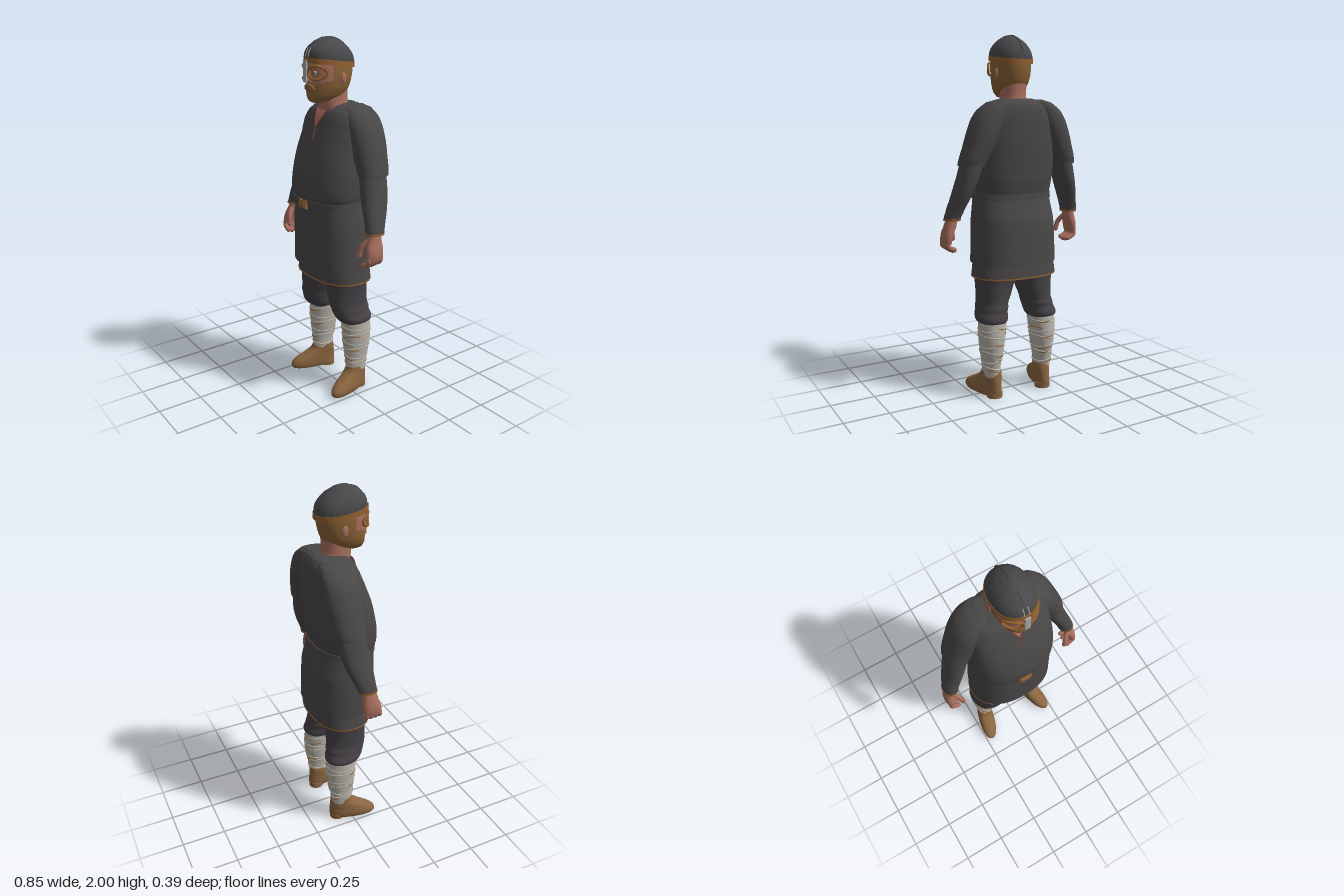
import * as THREE from 'three';

const mat = (name, color, side = THREE.FrontSide) => {
  const m = new THREE.MeshStandardMaterial({ color, side });
  m.name = name;
  return m;
};

export function createModel() {
  const M = {
    tunic: mat('dark wool', 0x4a4747),
    trousers: mat('trouser cloth', 0x464246),
    helmet: mat('dark iron', 0x48474a),
    wrap: mat('linen wrap', 0xb9b4ab, THREE.DoubleSide),
    leather: mat('shoe leather', 0x8a6540),
    skin: mat('skin', 0xa86f5e, THREE.DoubleSide),
    hair: mat('hair', 0x8a6236),
    brass: mat('brass trim', 0x91602f),
    steel: mat('steel', 0xa9a9a9),
    lips: mat('red trim', 0x7c4338),
  };
  const root = new THREE.Group();
  root.name = 'warrior';
  const add = (name, geo, material, parent = root) => {
    const mesh = new THREE.Mesh(geo, material);
    mesh.name = name;
    parent.add(mesh);
    return mesh;
  };

  // Smooth skin over level rings [y, xMin, xMax, zMin, zMax], listed top to bottom, with end caps.
  // pick(x, y, z) gives a material index per face; tilt raises the front.
  function loft(keys, { seg = 40, sub = 4, n = 2.2, pick = null, tilt = 0 } = {}) {
    const pos = [], faces = [[], []];
    const cr = (a, b, c, d, t) => {
      const v = 0.5 * (2 * b + (c - a) * t + (2 * a - 5 * b + 4 * c - d) * t * t + (3 * b - a - 3 * c + d) * t * t * t);
      return THREE.MathUtils.clamp(v, Math.min(b, c) - 0.006, Math.max(b, c) + 0.006);
    };
    const key = (i) => keys[THREE.MathUtils.clamp(i, 0, keys.length - 1)];
    const rows = (keys.length - 1) * sub;
    const ring = (r) => {
      const k = Math.min(Math.floor(r / sub), keys.length - 2), t = r / sub - k;
      const v = keys[0].map((_, j) => j === 0
        ? THREE.MathUtils.lerp(key(k)[0], key(k + 1)[0], t)
        : cr(key(k - 1)[j], key(k)[j], key(k + 1)[j], key(k + 2)[j], t));
      for (let i = 0; i < seg; i++) {
        const a = (i / seg) * Math.PI * 2, c = Math.cos(a), s = Math.sin(a);
        const x = (v[1] + v[2]) / 2 + (v[2] - v[1]) / 2 * Math.sign(c) * Math.abs(c) ** (2 / n);
        const z = (v[3] + v[4]) / 2 + (v[4] - v[3]) / 2 * Math.sign(s) * Math.abs(s) ** (2 / n);
        pos.push(x, v[0] + tilt * z, z);
      }
      return v;
    };
    for (let r = 0; r <= rows; r++) ring(r);
    for (let r = 0; r < rows; r++) for (let i = 0; i < seg; i++) {
      const j = (i + 1) % seg, a = r * seg + i, b = r * seg + j, c = a + seg, d = b + seg;
      const mid = [0, 1, 2].map((q) => (pos[a * 3 + q] + pos[b * 3 + q] + pos[c * 3 + q] + pos[d * 3 + q]) / 4);
      faces[pick ? pick(...mid) : 0].push(a, b, c, b, d, c);
    }
    for (const end of [0, rows]) {
      const start = pos.length / 3, v = ring(end), centre = pos.length / 3, zc = (v[3] + v[4]) / 2;
      pos.push((v[1] + v[2]) / 2, v[0] + tilt * zc, zc);
      for (let i = 0; i < seg; i++) {
        const p = start + i, q = start + (i + 1) % seg;
        faces[0].push(centre, ...(end ? [p, q] : [q, p]));
      }
    }
    const g = new THREE.BufferGeometry();
    g.setAttribute('position', new THREE.Float32BufferAttribute(pos, 3));
    g.setIndex([...faces[0], ...faces[1]]);
    if (pick) {
      g.addGroup(0, faces[0].length, 0);
      g.addGroup(faces[0].length, faces[1].length, 1);
    }
    g.computeVertexNormals();
    return g;
  }
  // Rings symmetric about x = 0: [y, halfWidth, zMin, zMax]
  const sym = (keys) => keys.map(([y, w, a, b]) => [y, -w, w, a, b]);
  const flip = (keys, s) => (s > 0 ? keys : keys.map(([y, a, b, c, d]) => [y, -b, -a, c, d]));
  const tube = (pts, r, closed = false, seg = 24) => new THREE.TubeGeometry(
    new THREE.CatmullRomCurve3(pts.map((p) => new THREE.Vector3(...p)), closed), seg, r, 8, closed);
  const ball = (r, x, y, z) => new THREE.SphereGeometry(r, 16, 12).translate(x, y, z);

  // Tunic, belt and the longer undertunic
  add('tunic', loft(sym([
    [1.66, .075, -.13, .0], [1.65, .12, -.152, .025], [1.62, .185, -.172, .06], [1.57, .215, -.18, .085],
    [1.5, .225, -.182, .115], [1.4, .23, -.18, .155], [1.3, .235, -.172, .18], [1.22, .232, -.165, .193],
    [1.17, .226, -.156, .192], [1.14, .218, -.15, .178], [1.1, .222, -.157, .177], [1.0, .235, -.183, .18],
    [.88, .24, -.19, .178], [.76, .243, -.195, .178]]), { seg: 64, n: 2.4 }), M.tunic);
  add('belt', loft(sym([[1.148, .223, -.156, .186], [1.115, .225, -.158, .184]]), { seg: 64, n: 2.4 }), M.tunic);
  add('buckle', new THREE.BoxGeometry(.07, .045, .016).translate(-.005, 1.122, .187), M.brass);
  add('bucklePlate', new THREE.BoxGeometry(.045, .022, .006).translate(-.005, 1.122, .196), M.leather);
  add('undertunic', loft(sym([[.79, .235, -.17, .14], [.74, .24, -.176, .145], [.685, .246, -.18, .146]]),
    { seg: 64, n: 2.4 }), M.tunic);
  add('hemTrim', loft(sym([[.69, .247, -.181, .148], [.682, .247, -.181, .148]]), { seg: 64, n: 2.4 }), M.brass);

  // Open neckline with its trim
  const neckline = [[.046, 1.645, .04], [.042, 1.62, .067], [.026, 1.58, .089], [.002, 1.535, .109]];
  const vPos = neckline.flatMap(([x, y, z]) => [-x, y, z, x, y, z]);
  const vGeo = new THREE.BufferGeometry();
  vGeo.setAttribute('position', new THREE.Float32BufferAttribute(vPos, 3));
  vGeo.setIndex([0, 1, 2, 3].slice(0, 3).flatMap((r) => [r * 2, r * 2 + 2, r * 2 + 1, r * 2 + 1, r * 2 + 2, r * 2 + 3]));
  vGeo.computeVertexNormals();
  add('openNeck', vGeo, M.skin);
  for (const s of [1, -1]) add('necklineTrim', tube(neckline.map(([x, y, z]) => [x * s, y, z]), .004), M.lips);
  add('neckSlit', tube([[0, 1.535, .108], [0, 1.5, .118], [0, 1.475, .128]], .004), M.lips);

  // Neck and head; hair and beard are faces of the head
  add('neck', loft(sym([[1.75, .07, -.09, .07], [1.67, .069, -.088, .07], [1.62, .075, -.11, .062],
    [1.57, .09, -.12, .03]])), M.skin);
  const isHair = (x, y, z) => {
    const ax = Math.abs(x);
    if (z > .06) return y < 1.757 + .5 * Math.max(0, ax - .035) ? 1 : 0;
    return 1;
  };
  add('head', loft(sym([[1.91, .098, -.108, .135], [1.85, .102, -.114, .146], [1.79, .1, -.106, .144],
    [1.74, .091, -.09, .146], [1.7, .073, -.06, .147], [1.675, .047, .0, .137], [1.667, .028, .04, .122]]),
  { seg: 64, sub: 10, pick: isHair }), [M.skin, M.hair]);
  add('moustache', tube([[-.042, 1.738, .138], [-.02, 1.757, .148], [0, 1.76, .151], [.02, 1.757, .148],
    [.042, 1.738, .138]], .008), M.hair);
  add('mouth', new THREE.SphereGeometry(1, 16, 8).scale(.022, .006, .005).translate(0, 1.738, .147), M.lips);
  add('nose', loft(sym([[1.85, .01, .12, .148], [1.81, .014, .12, .16], [1.785, .02, .12, .17],
    [1.77, .017, .12, .155]]), { seg: 20 }), M.skin);

  // Helmet with brass rim, ridge, nose guard and eye guards
  const tilt = .12;
  add('helmet', loft(sym([[2.0, .008, .0, .035], [1.993, .03, -.03, .06], [1.97, .063, -.075, .1],
    [1.935, .092, -.108, .137], [1.9, .106, -.122, .154], [1.86, .108, -.124, .154]]), { seg: 24, sub: 3, tilt }), M.helmet);
  add('helmetRim', loft(sym([[1.882, .11, -.126, .157], [1.855, .111, -.126, .158]]), { tilt }), M.brass);
  add('helmetRidge', tube([[0, 1.89, -.122], [0, 1.95, -.094], [0, 1.994, -.02], [0, 1.998, .04], [0, 1.978, .106],
    [0, 1.92, .157]], .004), M.helmet);
  for (const x of [-.012, .012]) {
    add('ridgeMark', tube([[x, 1.95, .139], [x, 1.93, .15], [x, 1.905, .159]], .0025), M.steel);
  }
  add('noseGuard', new THREE.BoxGeometry(.028, .115, .008).translate(0, 1.833, .168), M.steel);
  for (const s of [1, -1]) {
    const rim = Array.from({ length: 16 }, (_, i) => {
      const a = i / 16 * Math.PI * 2, x = .056 + .041 * Math.cos(a);
      return [x * s, 1.825 + .034 * Math.sin(a), .02 + .142 * Math.sqrt(1 - (x / .115) ** 2)];
    });
    add('eyeGuard', tube(rim, .007, true, 40), M.brass);
    add('eye', ball(.012, .04 * s, 1.825, .131), M.wrap);
    add('pupil', ball(.006, .04 * s, 1.825, .14), M.helmet);
    add('ear', new THREE.SphereGeometry(1, 16, 12).scale(.009, .03, .018).translate(.101 * s, 1.795, -.005), M.skin);
  }

  // Linear lookup of wrap rings, for the binding laid over them
  const wrapKeys = [[.44, .08, .236, -.14, .03], [.36, .09, .236, -.145, .03], [.28, .1, .229, -.14, .025],
    [.2, .115, .218, -.125, .015], [.12, .12, .21, -.115, .01]];
  const binding = (y, a0, a1, lean, s, out) => Array.from({ length: 13 }, (_, i) => {
    const a = a0 + (a1 - a0) * i / 12, py = y + lean * Math.cos(a);
    const k = THREE.MathUtils.clamp(Math.floor((.44 - py) / .08), 0, 3), t = (.44 - py) / .08 - k;
    const [, x0, x1, z0, z1] = wrapKeys[k].map((v, j) => THREE.MathUtils.lerp(v, wrapKeys[k + 1][j], t));
    return [s * ((x0 + x1) / 2 + ((x1 - x0) / 2 + out) * Math.cos(a)), py, (z0 + z1) / 2 + ((z1 - z0) / 2 + out) * Math.sin(a)];
  });

  for (const s of [1, -1]) {
    const side = s > 0 ? 'left' : 'right';
    // Arm: short outer sleeve, inner sleeve, cuff trim, hand
    const arm = new THREE.Group();
    arm.name = side + 'Arm';
    root.add(arm);
    add('sleeve', loft(flip([[1.655, .07, .13, -.13, -.03], [1.64, .06, .185, -.155, .0], [1.6, .08, .24, -.17, .02],
      [1.55, .1, .275, -.175, .03], [1.48, .13, .302, -.175, .03], [1.4, .165, .327, -.165, .025],
      [1.34, .2, .346, -.155, .022], [1.305, .216, .353, -.147, .022]], s)), M.tunic, arm);
    add('forearm', loft(flip([[1.34, .222, .335, -.135, .015], [1.28, .235, .348, -.136, .02], [1.2, .262, .368, -.126, .03],
      [1.12, .295, .39, -.1, .037], [1.05, .322, .41, -.07, .042], [1.015, .332, .417, -.06, .045]], s)), M.tunic, arm);
    add('cuffTrim', loft(flip([[1.024, .33, .418, -.062, .047], [1.013, .331, .419, -.061, .047]], s)), M.brass, arm);
    add('hand', loft(flip([[1.03, .348, .403, -.04, .03], [.985, .35, .414, -.04, .042], [.94, .366, .425, -.042, .06],
      [.905, .376, .427, -.04, .064], [.885, .38, .424, -.036, .06]], s), { seg: 24 }), M.skin, arm);
    for (let f = 0; f < 4; f++) {
      const z = -.024 + f * .025, tip = [.368 * s, .842 + Math.abs(f - 1.6) * .006, z + .006];
      add('finger', tube([[.405 * s, .905, z], [.405 * s, .873, z + .003], tip], .0135, false, 10), M.skin, arm);
      add('fingertip', ball(.0135, ...tip), M.skin, arm);
    }
    add('thumb', tube([[.372 * s, .985, .03], [.348 * s, .945, .058], [.338 * s, .9, .066]], .014, false, 10), M.skin, arm);
    add('thumbTip', ball(.014, .338 * s, .9, .066), M.skin, arm);

    // Leg: baggy trouser, linen wrap with bindings
    const leg = new THREE.Group();
    leg.name = side + 'Leg';
    root.add(leg);
    add('trouser', loft(flip([[.74, .0, .235, -.15, .115], [.66, .012, .228, -.132, .105], [.58, .04, .222, -.13, .1],
      [.535, .06, .222, -.132, .098], [.515, .062, .228, -.138, .09], [.49, .068, .232, -.138, .083],
      [.465, .07, .242, -.146, .07], [.442, .075, .242, -.146, .052], [.425, .086, .226, -.13, .028]], s)), M.trousers, leg);
    add('legWrap', loft(flip(wrapKeys, s), { n: 2 }), M.wrap, leg);
    for (let i = 0; i < 6; i++) {
      const y = .4 - i * .046, lean = i % 2 ? .012 : -.012;
      add('wrapFold', tube(binding(y, 0, Math.PI * 2, lean, s, -.001), .0045, false, 40), M.wrap, leg);
      const a = [1.0, .3, 1.2, 3.6, .8, 4.4][i];
      add('wrapBinding', tube(binding(y - .012, a, a + 1.3, lean, s, .001), .003), M.brass, leg);
      add('wrapBinding', tube(binding(y + .008, a + 3, a + 3.8, -lean, s, .001), .003), M.brass, leg);
    }

    // Shoe, toe turned out
    const shoe = new THREE.Group();
    shoe.name = side + 'Shoe';
    shoe.position.set(.165 * s, 0, -.05);
    shoe.rotation.y = .25 * s;
    root.add(shoe);
    add('upper', loft(flip([[.148, -.046, .046, -.066, .06], [.12, -.047, .047, -.07, .075], [.095, -.047, .049, -.073, .115],
      [.07, -.048, .051, -.075, .165], [.045, -.049, .054, -.076, .197], [.022, -.047, .052, -.075, .203],
      [.01, -.043, .047, -.07, .195]], s), { n: 2.3 }), M.leather, shoe);
    add('heel', new THREE.CylinderGeometry(.044, .044, .03, 24).translate(0, .015, -.03), M.leather, shoe);
  }
  return root;
}
